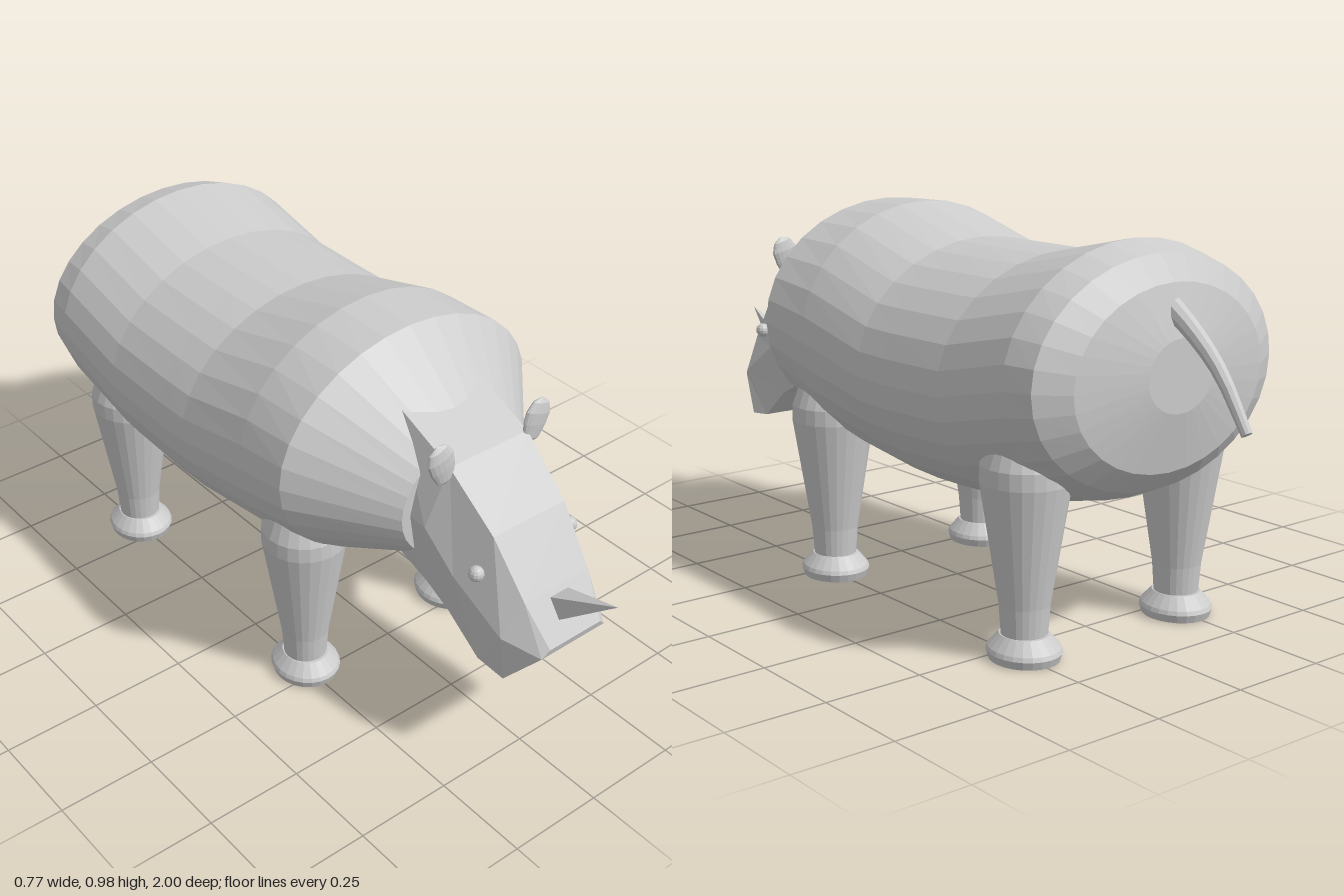
import * as THREE from 'three';

const mat = new THREE.MeshStandardMaterial({ color: 0xcccccc, flatShading: true, side: THREE.DoubleSide });

function add(parent, name, geometry, x = 0, y = 0, z = 0) {
  const mesh = new THREE.Mesh(geometry, mat);
  mesh.name = name;
  mesh.position.set(x, y, z);
  parent.add(mesh);
  return mesh;
}

// Skin a list of closed rings (front to back, counter-clockwise seen from the front) and cap both ends
function loft(rings) {
  const n = rings[0].length;
  const points = rings.flat();
  const index = [];
  for (let r = 0; r < rings.length - 1; r++) {
    for (let i = 0; i < n; i++) {
      const j = (i + 1) % n;
      const a = r * n + i, b = r * n + j, c = a + n, d = b + n;
      index.push(a, c, b, b, c, d);
    }
  }
  const last = (rings.length - 1) * n;
  for (let i = 1; i < n - 1; i++) {
    index.push(0, i, i + 1, last, last + i + 1, last + i);
  }
  const geometry = new THREE.BufferGeometry().setFromPoints(points);
  geometry.setIndex(index);
  geometry.computeVertexNormals();
  return geometry;
}

// Upright oval ring given its depth, half width, bottom and top
function oval([z, w, bottom, top], sides = 32) {
  return Array.from({ length: sides }, (_, i) => {
    const a = (i / sides) * Math.PI * 2;
    return new THREE.Vector3(w * Math.cos(a), (top + bottom) / 2 + ((top - bottom) / 2) * Math.sin(a), z);
  });
}

// Six-sided head section from [z, y, half width] of its top, middle and bottom corners
function headSection([top, mid, bottom]) {
  const corner = ([z, y, w], s) => new THREE.Vector3(s * w, y, z);
  return [corner(mid, 1), corner(top, 1), corner(top, -1), corner(mid, -1), corner(bottom, -1), corner(bottom, 1)];
}

function lathe(profile, sides = 24) {
  return new THREE.LatheGeometry(profile.map(([r, y]) => new THREE.Vector2(r, y)), sides);
}

export function createModel() {
  const model = new THREE.Group();
  model.name = 'hornedAnimal';

  // Barrel body: sloping shoulders, dipped back, hanging belly and domed rump
  add(model, 'body', loft([
    [0.51, 0.195, 0.46, 0.78],
    [0.3, 0.385, 0.38, 0.97],
    [0.14, 0.385, 0.32, 0.975],
    [-0.1, 0.385, 0.295, 0.905],
    [-0.2, 0.385, 0.29, 0.905],
    [-0.41, 0.385, 0.3, 0.905],
    [-0.64, 0.385, 0.355, 0.955],
    [-0.72, 0.37, 0.39, 0.93],
    [-0.765, 0.29, 0.44, 0.87],
    [-0.795, 0.1, 0.58, 0.75],
  ].map((r) => oval(r))));

  // Angular head, from muzzle back to neck
  const head = new THREE.Group();
  head.name = 'head';
  model.add(head);
  add(head, 'skull', loft([
    [[0.89, 0.43, 0.08], [0.885, 0.41, 0.1], [0.8, 0.31, 0.13]],
    [[0.82, 0.53, 0.1], [0.8, 0.44, 0.148], [0.72, 0.32, 0.135]],
    [[0.72, 0.66, 0.11], [0.65, 0.53, 0.16], [0.62, 0.4, 0.14]],
    [[0.58, 0.775, 0.12], [0.56, 0.62, 0.17], [0.54, 0.44, 0.14]],
    [[0.4, 0.85, 0.12], [0.4, 0.63, 0.17], [0.42, 0.48, 0.14]],
  ].map(headSection)));

  // Four-sided horn leaning forward
  const hornBase = new THREE.Vector3(0, 0.485, 0.83);
  const hornAxis = new THREE.Vector3(0, 0.585, 1).sub(hornBase);
  const hornShape = new THREE.ConeGeometry(0.043, hornAxis.length(), 4).rotateY(Math.PI / 4);
  const horn = add(head, 'horn', hornShape);
  horn.position.copy(hornBase).addScaledVector(hornAxis, 0.5);
  horn.quaternion.setFromUnitVectors(new THREE.Vector3(0, 1, 0), hornAxis.normalize());

  for (const side of [1, -1]) {
    const label = side > 0 ? 'left' : 'right';

    // Thin leaf-shaped ears
    const ear = add(head, label + 'Ear',
      lathe([[0, -0.062], [0.026, -0.045], [0.036, -0.01], [0.038, 0.02], [0.026, 0.045], [0, 0.058]], 16),
      side * 0.145, 0.795, 0.58);
    ear.scale.z = 0.36;
    ear.rotation.z = -side * 0.3;

    add(head, label + 'Eye', new THREE.SphereGeometry(0.019, 12, 8), side * 0.147, 0.57, 0.71);

    // Tapered legs with rounded tops and flared feet
    for (const [end, z] of [['Front', 0.21], ['Rear', -0.56]]) {
      const leg = new THREE.Group();
      leg.name = label + end + 'Leg';
      leg.position.set(side * 0.245, 0, z);
      model.add(leg);
      add(leg, 'shank', lathe([
        [0.054, 0.05], [0.06, 0.13], [0.106, 0.42], [0.105, 0.46], [0.085, 0.515], [0.05, 0.545], [0, 0.555],
      ]));
      add(leg, 'foot', lathe([
        [0, 0], [0.08, 0], [0.086, 0.02], [0.082, 0.03], [0.057, 0.06], [0, 0.06],
      ])).scale.z = 1.1;
    }
  }

  // Drooping tail, tapering to the tip
  const tailPath = new THREE.CatmullRomCurve3([
    new THREE.Vector3(0, 0.82, -0.75),
    new THREE.Vector3(0, 0.765, -0.83),
    new THREE.Vector3(0, 0.69, -0.91),
    new THREE.Vector3(0, 0.57, -0.99),
  ]);
  const rings = Array.from({ length: 9 }, (_, i) => {
    const t = i / 8;
    const p = tailPath.getPoint(t), d = tailPath.getTangent(t);
    const r = 0.027 - 0.014 * t;
    return Array.from({ length: 10 }, (_, k) => {
      const a = (k / 10) * Math.PI * 2;
      const c = r * Math.cos(a), s = r * Math.sin(a);
      return new THREE.Vector3(c, p.y - d.z * s, p.z + d.y * s);
    });
  });
  add(model, 'tail', loft(rings));

  return model;
}
